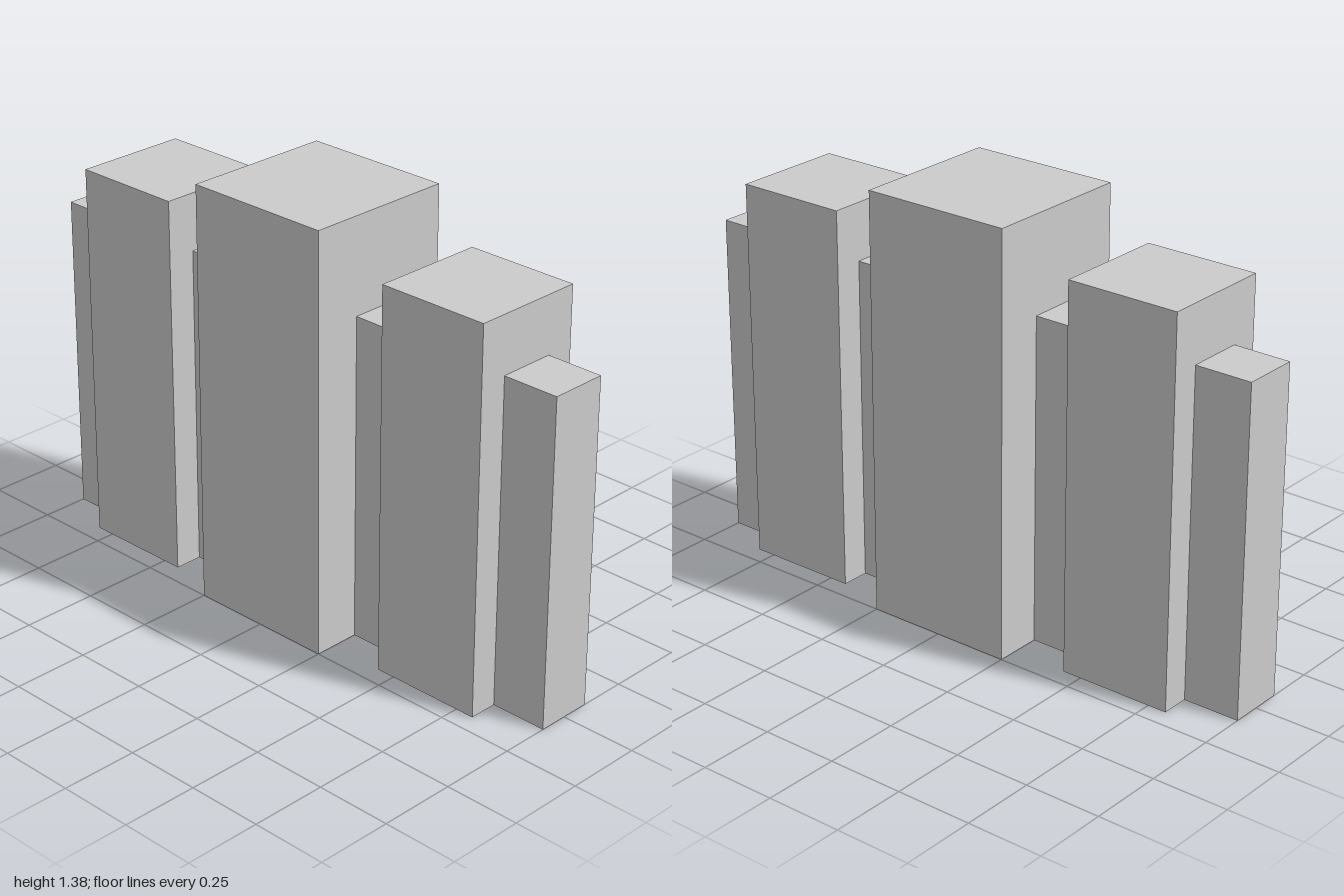
import * as THREE from 'three';

export function createModel() {
  const model = new THREE.Group();
  const material = new THREE.MeshStandardMaterial({ color: 0xcccccc, flatShading: true });

  // Upright block standing on the ground, centred on x = 0
  function block(name, width, height, depth, z) {
    const mesh = new THREE.Mesh(new THREE.BoxGeometry(width, height, depth), material);
    mesh.name = name;
    mesh.position.set(0, height / 2, z);
    model.add(mesh);
  }

  // Tall central pillar
  block('centrePillar', 0.5, 1.375, 0.5, 0);

  // Side posts with the thin wall pieces on either side of them
  for (const [end, s] of [['front', 1], ['back', -1]]) {
    block(end + 'InnerWall', 0.1875, 1.0625, 0.1875, s * 0.34375);
    block(end + 'Post', 0.375, 1.25, 0.375, s * 0.625);
    block(end + 'OuterWall', 0.1875, 1.0625, 0.1875, s * 0.90625);
  }
  return model;
}
